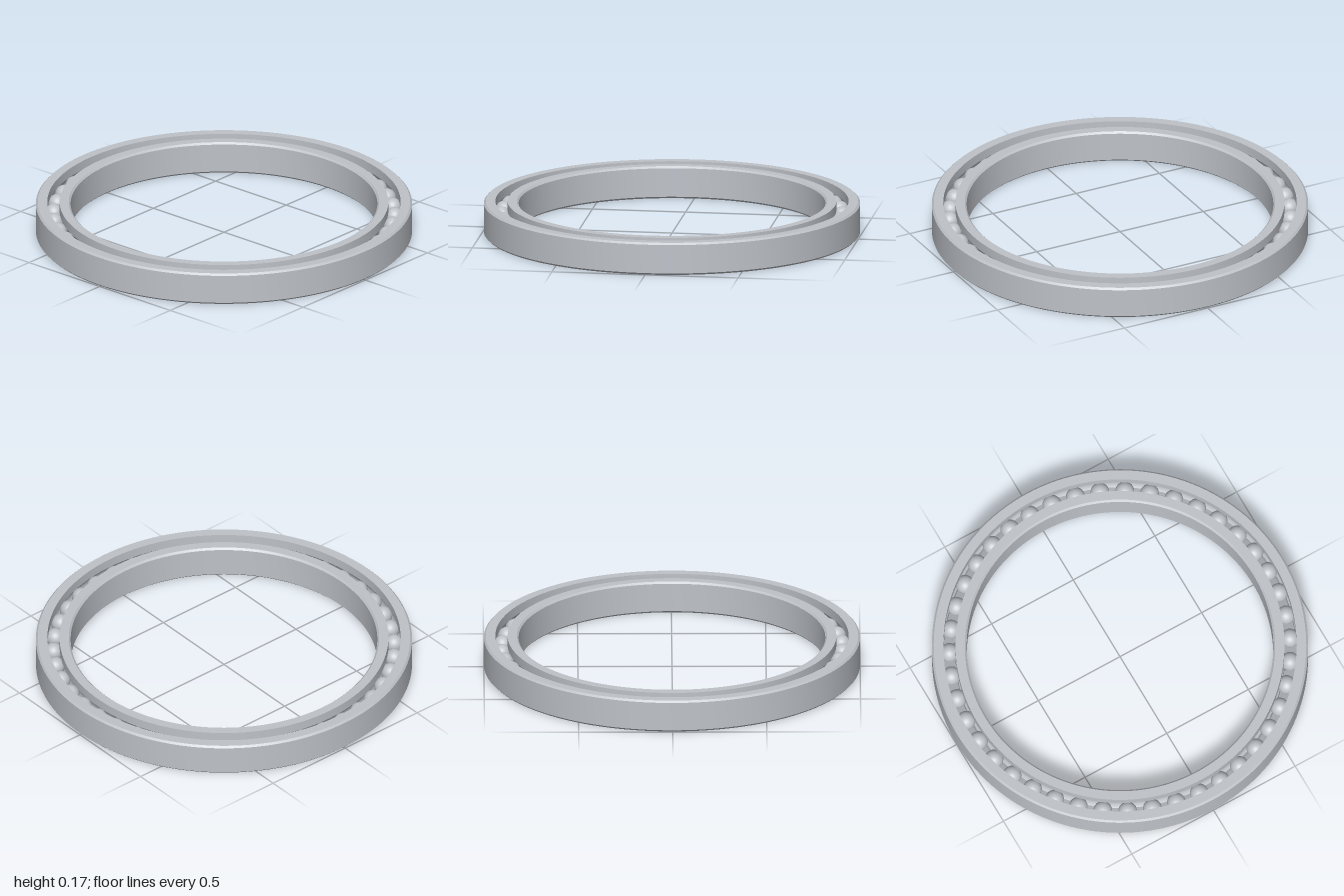
import * as THREE from 'three';
import { toCreasedNormals } from 'three/addons/utils/BufferGeometryUtils.js';

const HEIGHT = 0.175, CHAMFER = 0.01;
const PITCH = 0.906, BALL_RADIUS = 0.05, BALLS = 43;

// Race ring from wall radius (chamfered side) to lip radius (grooved side)
function raceRing(name, wall, lip, material) {
  const side = Math.sign(wall - lip); // +1 for the outer ring, -1 for the inner ring
  const points = [
    [lip, 0], [wall - side * CHAMFER, 0], [wall, CHAMFER],
    [wall, HEIGHT - CHAMFER], [wall - side * CHAMFER, HEIGHT], [lip, HEIGHT],
  ];
  // Ball groove, swept from top to bottom
  const half = Math.acos(Math.abs(lip - PITCH) / BALL_RADIUS);
  for (let i = 0; i <= 10; i++) {
    const a = half * (1 - i / 5);
    points.push([PITCH + side * BALL_RADIUS * Math.cos(a), HEIGHT / 2 + BALL_RADIUS * Math.sin(a)]);
  }
  points.push([lip, 0]);
  if (side < 0) points.reverse();

  // Creased at a large scale so that fine details keep separate normals
  const scale = 100;
  const profile = points.map(([r, y]) => new THREE.Vector2(r * scale, y * scale));
  let geometry = new THREE.LatheGeometry(profile, 144);
  geometry = toCreasedNormals(geometry, 0.45);
  geometry.scale(1 / scale, 1 / scale, 1 / scale);
  const mesh = new THREE.Mesh(geometry, material);
  mesh.name = name;
  return mesh;
}

export function createModel() {
  const steel = new THREE.MeshStandardMaterial({ color: 0xbfc3c9 });
  steel.name = 'steel';

  const model = new THREE.Group();
  model.name = 'ballBearing';
  model.add(raceRing('outerRing', 1, 0.939, steel));
  model.add(raceRing('innerRing', 0.815, 0.874, steel));

  // Balls spaced evenly between the rings
  const balls = new THREE.Group();
  balls.name = 'balls';
  const ballGeometry = new THREE.SphereGeometry(BALL_RADIUS, 28, 18);
  for (let i = 0; i < BALLS; i++) {
    const a = (i / BALLS) * Math.PI * 2;
    const ball = new THREE.Mesh(ballGeometry, steel);
    ball.name = 'ball';
    ball.position.set(PITCH * Math.cos(a), HEIGHT / 2, PITCH * Math.sin(a));
    balls.add(ball);
  }
  model.add(balls);
  return model;
}
